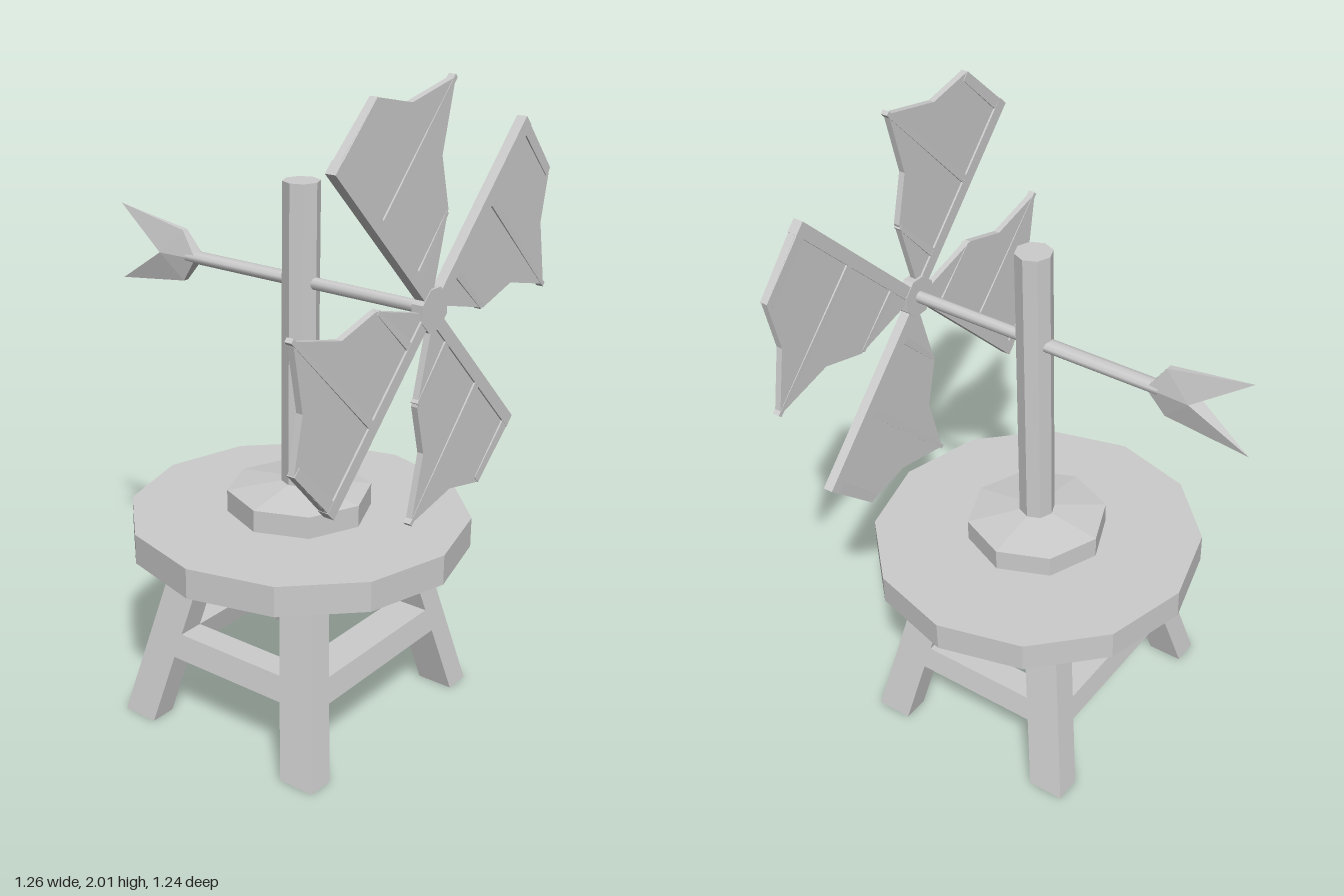
import * as THREE from 'three';

const material = new THREE.MeshStandardMaterial({ color: 0xcccccc, flatShading: true });
const smooth = new THREE.MeshStandardMaterial({ color: 0xcccccc });
const AXIS_Z = 0.1;   // centre line of the table and pole
const SHAFT_Y = 1.38;

function add(parent, name, geometry, x = 0, y = 0, z = 0, mat = material) {
  const mesh = new THREE.Mesh(geometry, mat);
  mesh.name = name;
  mesh.position.set(x, y, z);
  parent.add(mesh);
  return mesh;
}

// Unit box whose corners are moved by a rule
function warpedBox(rule) {
  const geometry = new THREE.BoxGeometry(1, 1, 1);
  const p = geometry.attributes.position;
  for (let i = 0; i < p.count; i++) p.setXYZ(i, ...rule(p.getX(i), p.getY(i), p.getZ(i)));
  geometry.computeVertexNormals();
  return geometry;
}

// Splayed legs joined by flush rails
const LEG_W = 0.085, LEG_D = 0.117;
const legX = (y) => 0.37 - 0.246 * y;
const legZ = (y) => 0.309 - 0.2 * y;

function createStand() {
  const stand = new THREE.Group();
  stand.name = 'stand';
  const railY = (t) => 0.257 + t * 0.075;
  for (const s of [-1, 1]) {
    for (const sz of [-1, 1]) {
      add(stand, 'leg', warpedBox((x, y, z) => {
        const h = (y + 0.5) * 0.57;
        return [s * legX(h) + x * LEG_W, h, sz * legZ(h) + z * LEG_D];
      }));
    }
    add(stand, 'crossRail', warpedBox((x, y, z) => {
      const h = railY(y);
      return [x * 2 * (legX(h) - LEG_W / 2), h, s * legZ(h) + z * LEG_D];
    }));
    add(stand, 'sideRail', warpedBox((x, y, z) => {
      const h = railY(y);
      return [s * legX(h) + x * LEG_W, h, z * 2 * (legZ(h) - LEG_D / 2)];
    }));
  }
  stand.position.z = AXIS_Z;
  return stand;
}

// One scalloped sail: spar along x, cloth hanging towards -y
function createSail() {
  const sail = new THREE.Group();
  sail.name = 'sail';
  const outline = [
    [0.03, 0.01], [0.647, 0.01], [0.639, -0.229], [0.502, -0.318],
    [0.389, -0.488], [0.283, -0.311], [0.148, -0.233], [0.04, -0.045],
  ].map(([x, y]) => new THREE.Vector2(x, y));
  const cloth = new THREE.ExtrudeGeometry(new THREE.Shape(outline), { depth: 0.02, bevelEnabled: false });
  add(sail, 'sailCloth', cloth, 0, 0, -0.01);

  // Battens thin out from the spar to their tip
  const batten = (name, from, to, width, endWidth, depth, endDepth) => {
    const dx = to[0] - from[0], dy = to[1] - from[1];
    const length = Math.hypot(dx, dy);
    const mesh = add(sail, name, warpedBox((x, y, z) => {
      const t = x + 0.5;
      return [t * length, y * THREE.MathUtils.lerp(width, endWidth, t),
        z * THREE.MathUtils.lerp(depth, endDepth, t)];
    }), from[0], from[1], 0);
    mesh.rotation.z = Math.atan2(dy, dx);
  };
  batten('spar', [0.03, -0.01], [0.647, -0.01], 0.04, 0.04, 0.032, 0.032);
  batten('outerBatten', [0.628, 0.008], [0.624, -0.23], 0.036, 0.03, 0.032, 0.024);
  batten('middleBatten', [0.378, -0.01], [0.389, -0.492], 0.026, 0.014, 0.032, 0.022);
  batten('innerBatten', [0.135, -0.01], [0.145, -0.225], 0.026, 0.014, 0.032, 0.022);
  return sail;
}

// Forked tail fin, symmetric about the shaft
function createTail() {
  const positions = [];
  const tri = (flip, a, b, c) => positions.push(...a, ...(flip ? c : b), ...(flip ? b : c));
  for (const up of [1, -1]) {
    const tip = [0, up === 1 ? 0.125 : -0.118, -0.613];
    const point = (side) => ({
      root: [side * 0.022, 0, -0.29],
      shoulder: [side * 0.01, up * 0.08, -0.348],
      notch: [side * 0.028, 0, -0.43],
    });
    const L = point(1), R = point(-1);
    for (const [side, p] of [[1, L], [-1, R]]) {
      const flip = side * up < 0;
      tri(flip, p.root, p.notch, p.shoulder);
      tri(flip, p.shoulder, p.notch, tip);
    }
    const flip = up < 0;
    tri(flip, L.root, L.shoulder, R.shoulder);
    tri(flip, L.root, R.shoulder, R.root);
    tri(flip, L.shoulder, tip, R.shoulder);
    tri(flip, L.notch, R.notch, tip);
  }
  const geometry = new THREE.BufferGeometry();
  geometry.setAttribute('position', new THREE.Float32BufferAttribute(positions, 3));
  geometry.computeVertexNormals();
  return geometry;
}

export function createModel() {
  const model = new THREE.Group();
  model.name = 'windmill';
  model.add(createStand());

  // Table top, collar and pole
  const drum = (top, bottom, y0, y1, sides) =>
    new THREE.CylinderGeometry(top, bottom, y1 - y0, sides).translate(0, (y0 + y1) / 2, 0);
  add(model, 'tableTop', drum(0.525, 0.525, 0.562, 0.656, 12), 0, 0, AXIS_Z);
  add(model, 'collar', drum(0.222, 0.222, 0.656, 0.725, 8), 0, 0, AXIS_Z);
  add(model, 'collarSlope', drum(0.056, 0.222, 0.725, 0.75, 8), 0, 0, AXIS_Z);
  add(model, 'pole', drum(0.056, 0.056, 0.74, 1.675, 8), 0, 0, AXIS_Z);

  // Shaft: round in front of the pole, slightly broader behind it
  const rod = (z0, z1, halfWidth) => new THREE.CylinderGeometry(0.019, 0.019, z1 - z0, 10)
    .rotateX(Math.PI / 2).scale(halfWidth / 0.019, 1, 1).translate(0, 0, (z0 + z1) / 2);
  add(model, 'frontShaft', rod(0.1, 0.54, 0.019), 0, SHAFT_Y, 0, smooth);
  add(model, 'rearShaft', rod(-0.33, 0.1, 0.027), 0, SHAFT_Y, 0, smooth);
  add(model, 'tail', createTail(), 0, SHAFT_Y, 0);

  // Hub with four sails
  const rotor = new THREE.Group();
  rotor.name = 'rotor';
  rotor.position.set(0, SHAFT_Y, 0.543);
  add(rotor, 'hub', new THREE.CylinderGeometry(0.066, 0.066, 0.036, 8)
    .rotateY(Math.PI / 8).rotateX(Math.PI / 2));
  for (let i = 0; i < 4; i++) {
    const sail = createSail();
    sail.rotation.z = Math.PI / 4 + i * Math.PI / 2;
    rotor.add(sail);
  }
  model.add(rotor);
  return model;
}
